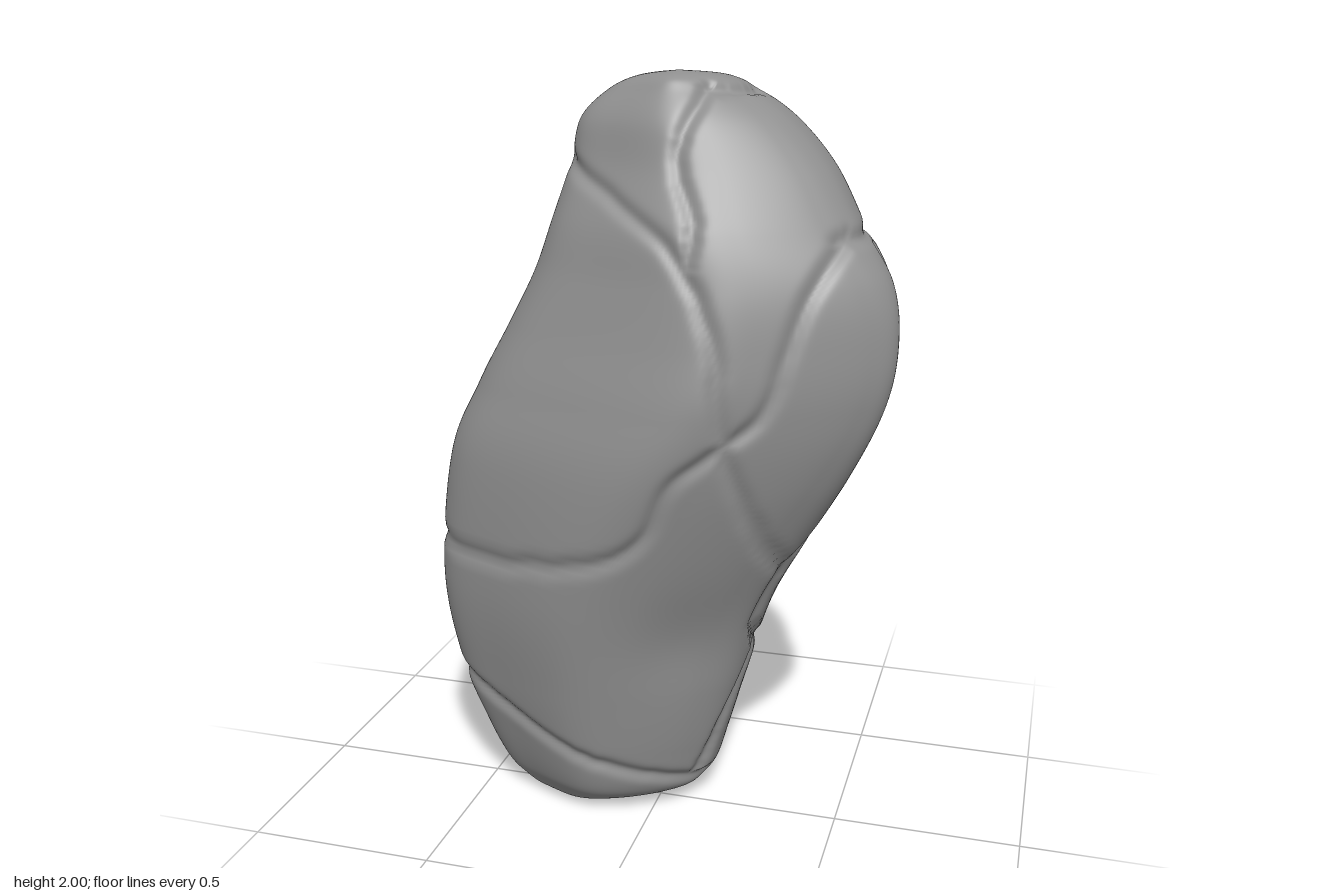
import * as THREE from 'three';

// Height, then left / right x limits and front / back z limits of each level
const LEVELS = [
  [0, -0.24, -0.24, 0.04, 0.04],
  [0.01, -0.35, -0.08, 0.1, -0.07],
  [0.04, -0.42, 0.07, 0.14, -0.18],
  [0.09, -0.465, 0.13, 0.175, -0.23],
  [0.2, -0.515, 0.165, 0.205, -0.245],
  [0.38, -0.578, 0.215, 0.24, -0.26],
  [0.65, -0.613, 0.3, 0.285, -0.278],
  [1.0, -0.57, 0.5, 0.326, -0.305],
  [1.2, -0.485, 0.59, 0.32, -0.32],
  [1.36, -0.4, 0.612, 0.293, -0.31],
  [1.5, -0.33, 0.585, 0.265, -0.298],
  [1.63, -0.285, 0.5, 0.23, -0.283],
  [1.77, -0.243, 0.415, 0.16, -0.258],
  [1.88, -0.22, 0.315, 0.115, -0.24],
  [1.95, -0.15, 0.215, 0.07, -0.21],
  [1.985, -0.07, 0.14, 0.04, -0.16],
  [2.0, 0.04, 0.04, -0.02, -0.02],
];

// Outline as fractions: x from left to right, z from back to front.
// The right half is boxy at foot and top, bevelled around the bulge.
const LEFT_HALF = [[0.2, 0.85], [0.05, 0.72], [0, 0.58], [0.02, 0.2], [0.08, 0.09], [0.27, 0.03], [0.5, 0]];
const BOXY_HALF = [[0.78, 0.02], [0.95, 0.07], [1, 0.2], [1, 0.55], [0.9, 0.74], [0.66, 0.95], [0.48, 1]];
const BULGE_HALF = [[0.72, 0.04], [0.87, 0.12], [0.95, 0.33], [1, 0.57], [0.95, 0.68], [0.72, 0.91], [0.57, 1]];

// Cracks are drawn flat onto one side: across is x for front and back, z for the flank
const FRONT_CRACKS = [
  [[-0.24, 1.78], [-0.05, 1.68], [0.1, 1.58], [0.2, 1.4], [0.25, 1.05], [0.35, 0.74]],
  [[-0.61, 0.77], [-0.5, 0.75], [0, 0.84], [0.12, 1.04], [0.32, 1.2], [0.4, 1.45], [0.49, 1.63]],
  [[-0.58, 0.37], [-0.3, 0.25], [0.13, 0.08]],
  [[0.13, 1.97], [0.08, 1.8], [0.14, 1.65], [0.13, 1.56]],
];
const BACK_CRACKS = [
  [[0.14, 1.97], [-0.08, 1.87], [-0.24, 1.78]],
  [[0.49, 1.63], [0.38, 1.63], [0, 1.46], [-0.4, 1.28], [-0.53, 1.1], [-0.61, 0.77]],
  [[-0.25, 1.35], [-0.22, 1.1], [-0.06, 0.87], [-0.03, 0.6], [0.15, 0.47]],
  [[-0.05, 0.73], [-0.36, 0.73], [-0.58, 0.37]],
];
const FLANK_CRACKS = [
  [[-0.23, 0.46], [-0.1, 0.48], [0.02, 0.56], [0.04, 0.74]],
  [[0.04, 0.74], [-0.11, 1.02], [-0.06, 1.4], [-0.08, 1.58]],
  [[0.04, 0.09], [0, 0.3], [-0.06, 0.48]],
  [[0.08, 1.61], [-0.22, 1.62]],
  [[0.03, 1.96], [-0.15, 1.95]],
];
const SIDES = [
  { cracks: FRONT_CRACKS, across: 'x', facing: new THREE.Vector3(0, 0, 1) },
  { cracks: BACK_CRACKS, across: 'x', facing: new THREE.Vector3(0, 0, -1) },
  { cracks: FLANK_CRACKS, across: 'z', facing: new THREE.Vector3(1, 0, 0) },
];

const ROWS = 300, COLS = 230;
const GROOVE_DEPTH = 0.014, GROOVE_WIDTH = 0.021;
const HOLLOW = new THREE.Vector3(0.14, 0.52, 0.22), HOLLOW_DEPTH = 0.02, HOLLOW_WIDTH = 0.15;

function spline(a, b, c, d, t) {
  return b + 0.5 * t * (c - a + t * (2 * a - 5 * b + 4 * c - d + t * (3 * (b - c) + d - a)));
}

function levelAt(f) {
  const last = LEVELS.length - 1;
  const k = Math.min(Math.floor(f * last), last - 1);
  const at = (i) => LEVELS[Math.max(0, Math.min(last, i))];
  return LEVELS[k].map((_, n) => spline(at(k - 1)[n], at(k)[n], at(k + 1)[n], at(k + 2)[n], f * last - k));
}

// One closed ring of the stone, its right half blended towards the bulge
function ringAt(f) {
  const [y, left, right, front, back] = levelAt(f);
  const bulge = Math.exp(-(((y - 1.25) / 0.35) ** 2));
  const rightHalf = BOXY_HALF.map((p, i) => p.map((v, n) => THREE.MathUtils.lerp(v, BULGE_HALF[i][n], bulge)));
  const corners = [...LEFT_HALF, ...rightHalf].map(([x, z]) =>
    new THREE.Vector3(left + (right - left) * x, y, back + (front - back) * z));
  return new THREE.CatmullRomCurve3(corners, true).getSpacedPoints(COLS).slice(0, COLS);
}

// Stack the rings from foot to top
function stoneBody() {
  const pos = [], index = [];
  for (let i = 0; i <= ROWS; i++) {
    for (const p of ringAt(i / ROWS)) pos.push(p.x, p.y, p.z);
  }
  for (let i = 0; i < ROWS; i++) {
    for (let j = 0; j < COLS; j++) {
      const a = i * COLS + j, b = i * COLS + (j + 1) % COLS;
      if (i > 0) index.push(a, a + COLS, b);
      if (i < ROWS - 1) index.push(b, a + COLS, b + COLS);
    }
  }
  const geo = new THREE.BufferGeometry();
  geo.setAttribute('position', new THREE.Float32BufferAttribute(pos, 3));
  geo.setIndex(index);
  geo.computeVertexNormals();
  return geo;
}

// Project a flat crack onto the vertices of its side and smooth it
function tracePath(points, across, verts) {
  const flat = new THREE.CatmullRomCurve3(points.map(([a, y]) => new THREE.Vector3(a, y, 0)));
  const snapped = flat.getSpacedPoints(50).map((p) => {
    let best = verts[0], bestD = Infinity;
    for (const v of verts) {
      const d = (v[across] - p.x) ** 2 + (v.y - p.y) ** 2;
      if (d < bestD) { bestD = d; best = v; }
    }
    return best;
  });
  return snapped.map((p, i) => {
    const prev = snapped[Math.max(0, i - 1)], next = snapped[Math.min(snapped.length - 1, i + 1)];
    return p.clone().multiplyScalar(2).add(prev).add(next).multiplyScalar(0.25);
  });
}

// Press a shallow hollow and a soft groove along every crack into the surface
function carve(geo) {
  const pos = geo.attributes.position, nor = geo.attributes.normal;
  const read = (attr) => Array.from({ length: attr.count }, (_, i) => new THREE.Vector3().fromBufferAttribute(attr, i));
  const verts = read(pos), normals = read(nor);
  const nearest = new Float32Array(pos.count).fill(1);
  const line = new THREE.Line3(), hit = new THREE.Vector3();
  for (const { cracks, across, facing } of SIDES) {
    const visible = verts.filter((_, i) => normals[i].dot(facing) > 0.05);
    for (const crack of cracks) {
      const path = tracePath(crack, across, visible);
      for (let s = 0; s < path.length - 1; s++) {
        line.set(path[s], path[s + 1]);
        verts.forEach((v, i) => {
          if (Math.abs(v.y - path[s].y) > 0.12) return;
          line.closestPointToPoint(v, true, hit);
          nearest[i] = Math.min(nearest[i], v.distanceTo(hit));
        });
      }
    }
  }
  const dent = (distance, depth, width) => depth * Math.exp(-((distance / width) ** 2));
  verts.forEach((v, i) => {
    const push = dent(nearest[i], GROOVE_DEPTH, GROOVE_WIDTH) + dent(v.distanceTo(HOLLOW), HOLLOW_DEPTH, HOLLOW_WIDTH);
    v.addScaledVector(normals[i], -push);
    pos.setXYZ(i, v.x, v.y, v.z);
  });
  geo.computeVertexNormals();
}

export function createModel() {
  const group = new THREE.Group();
  group.name = 'crackedBoulder';
  const geo = stoneBody();
  carve(geo);
  const stone = new THREE.Mesh(geo, new THREE.MeshStandardMaterial({ color: 0x909090 }));
  stone.name = 'stone';
  group.add(stone);
  return group;
}
